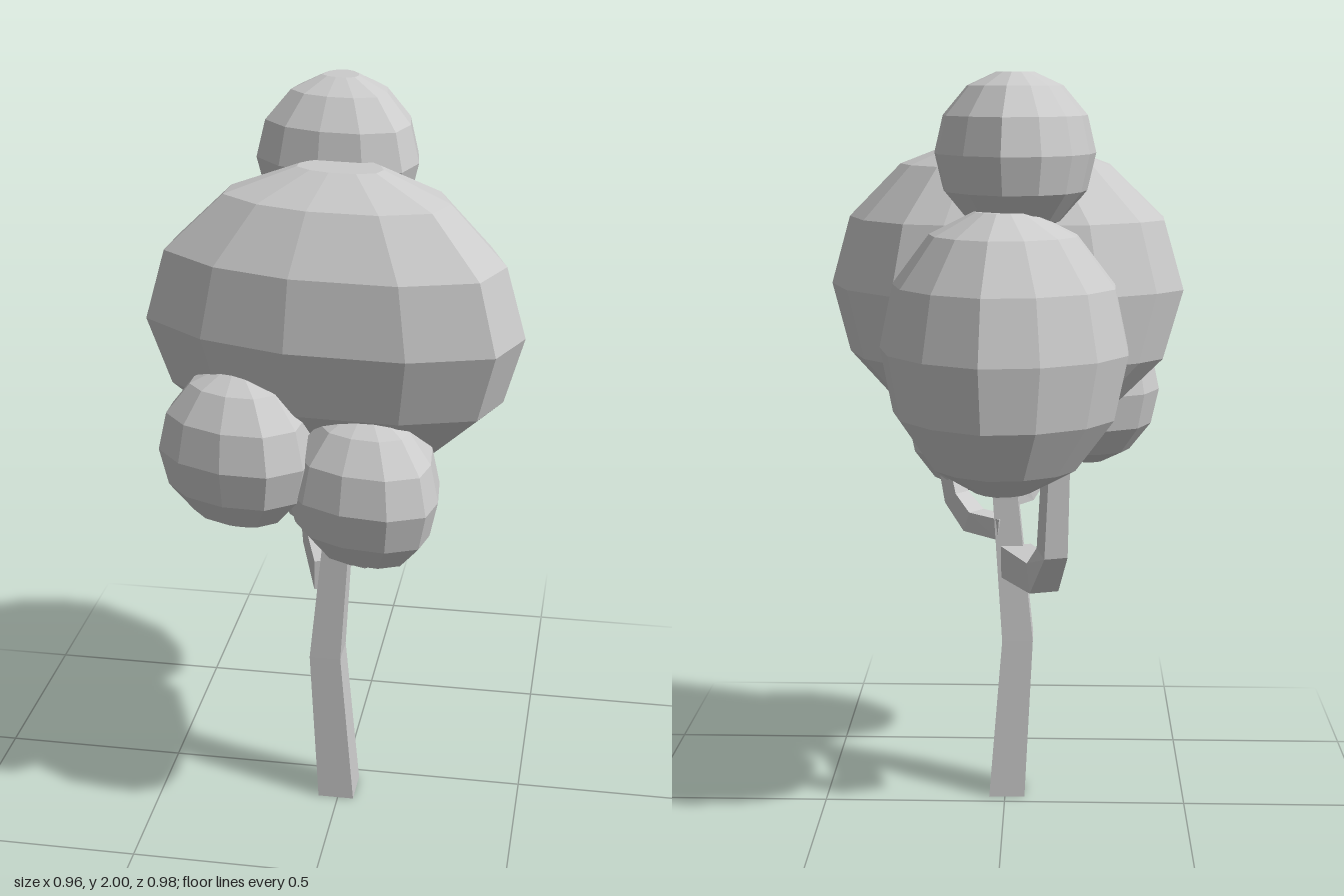
import * as THREE from 'three';

const leafMat = new THREE.MeshStandardMaterial({ color: 0xcccccc, flatShading: true });
const woodMat = new THREE.MeshStandardMaterial({ color: 0xcccccc, flatShading: true });

// Closed skin over a stack of rings (each counter-clockwise about the stack direction).
function loft(name, rings, material) {
  const n = rings[0].length;
  const pos = [];
  const tri = (...pts) => pts.forEach((p) => pos.push(p.x, p.y, p.z));
  for (let r = 0; r + 1 < rings.length; r++) {
    const a = rings[r], b = rings[r + 1];
    for (let i = 0; i < n; i++) {
      const j = (i + 1) % n;
      tri(a[i], a[j], b[j]);
      tri(a[i], b[j], b[i]);
    }
  }
  const first = rings[0], last = rings[rings.length - 1];
  const middle = (ring) => ring.reduce((s, p) => s.add(p), new THREE.Vector3()).divideScalar(n);
  const c0 = middle(first), c1 = middle(last);
  for (let i = 0; i < n; i++) {
    const j = (i + 1) % n;
    tri(c0, first[j], first[i]);
    tri(c1, last[i], last[j]);
  }
  const geo = new THREE.BufferGeometry();
  geo.setAttribute('position', new THREE.Float32BufferAttribute(pos, 3));
  geo.computeVertexNormals();
  const mesh = new THREE.Mesh(geo, material);
  mesh.name = name;
  return mesh;
}

// Rounded leaf clump: the [x, z] outline is its widest ring; lean shifts z with height.
function crown(name, outline, [cx, cy, cz], ry, lean = 0) {
  const top = Math.sin(THREE.MathUtils.degToRad(77));
  const rings = [-77, -54, -27, 0, 27, 54, 77].map((deg) => {
    const a = THREE.MathUtils.degToRad(deg);
    const k = Math.cos(a), dy = (ry * Math.sin(a)) / top;
    return outline.map(([x, z]) =>
      new THREE.Vector3(cx + (x - cx) * k, cy + dy, cz + (z - cz) * k + dy * lean));
  });
  return loft(name, rings, leafMat);
}

// Square-section branch through [x, y, z, half width] points.
function branch(name, path) {
  const pts = path.map(([x, y, z]) => new THREE.Vector3(x, y, z));
  const run = pts[pts.length - 1].clone().sub(pts[0]);
  const side = new THREE.Vector3(run.z, 0, -run.x).normalize();
  const rings = pts.map((p, i) => {
    const t = pts[Math.min(i + 1, pts.length - 1)].clone().sub(pts[Math.max(i - 1, 0)]).normalize();
    const up = t.clone().cross(side);
    const h = path[i][3];
    return [[1, 1], [-1, 1], [-1, -1], [1, -1]].map(([s, u]) =>
      p.clone().addScaledVector(side, s * h).addScaledVector(up, u * h));
  });
  return loft(name, rings, woodMat);
}

export function createModel() {
  const tree = new THREE.Group();
  tree.name = 'tree';

  // Trunk: bent square post, sections as [y, xMin, xMax, zMin, zMax]
  const sections = [
    [0, -0.055, 0.044, 0.035, 0.147],
    [0.45, -0.077, 0.008, 0.054, 0.147],
    [0.85, -0.035, 0.034, 0.073, 0.143],
    [1.2, -0.02, 0.04, 0.08, 0.13],
  ];
  tree.add(loft('trunk', sections.map(([y, x0, x1, z0, z1]) =>
    [[x1, z1], [x1, z0], [x0, z0], [x0, z1]].map(([x, z]) => new THREE.Vector3(x, y, z))), woodMat));

  // Branches
  tree.add(branch('backBranch', [
    [-0.03, 0.675, 0.08, 0.044], [-0.105, 0.69, -0.145, 0.04],
    [-0.13, 0.77, -0.195, 0.032], [-0.14, 1.05, -0.23, 0.028]]));
  tree.add(branch('leftBranch', [
    [0.0, 0.765, 0.09, 0.03], [0.09, 0.775, 0.14, 0.03],
    [0.14, 0.83, 0.19, 0.026], [0.165, 0.93, 0.23, 0.022]]));
  tree.add(branch('rightBranch', [
    [0.0, 0.855, 0.1, 0.028], [-0.05, 0.86, 0.14, 0.027],
    [-0.09, 0.91, 0.18, 0.024], [-0.12, 1.02, 0.22, 0.022]]));

  // Leaf clumps
  tree.add(crown('mainCrown', [
    [0.48, 0.2], [0.42, 0.02], [0.29, -0.125], [0.17, -0.16], [-0.06, -0.165], [-0.25, -0.14],
    [-0.4, -0.04], [-0.475, 0.05], [-0.48, 0.2], [-0.31, 0.33], [-0.09, 0.4], [0.21, 0.415], [0.42, 0.35],
  ], [0.01, 1.43, 0.075], 0.393, 0.09));
  tree.add(crown('backCrown', [
    [0.32, -0.13], [0.285, -0.285], [0.19, -0.41], [0.05, -0.49], [-0.1, -0.47], [-0.24, -0.385],
    [-0.32, -0.26], [-0.323, -0.13], [-0.24, 0], [0, 0.03], [0.24, 0],
  ], [0, 1.3, -0.24], 0.355, 0.06));
  tree.add(crown('topCrown', [
    [0.18, -0.04], [0.165, -0.15], [0.095, -0.26], [0, -0.325], [-0.1, -0.305], [-0.175, -0.24],
    [-0.22, -0.14], [-0.238, -0.04], [-0.165, 0.04], [-0.06, 0.08], [0.055, 0.09], [0.15, 0.055],
  ], [-0.03, 1.795, -0.11], 0.205));
  tree.add(crown('frontRightCrown', [
    [-0.03, 0.3], [-0.07, 0.18], [-0.16, 0.1], [-0.27, 0.09], [-0.38, 0.15], [-0.425, 0.25],
    [-0.425, 0.335], [-0.355, 0.415], [-0.24, 0.465], [-0.12, 0.47], [-0.04, 0.41],
  ], [-0.23, 1.13, 0.28], 0.21));
  tree.add(crown('frontLeftCrown', [
    [0.29, 0.36], [0.28, 0.24], [0.21, 0.13], [0.11, 0.08], [0, 0.11], [-0.08, 0.2],
    [-0.1, 0.33], [-0.04, 0.425], [0.06, 0.475], [0.18, 0.49], [0.27, 0.45],
  ], [0.1, 1.045, 0.285], 0.208));

  return tree;
}
